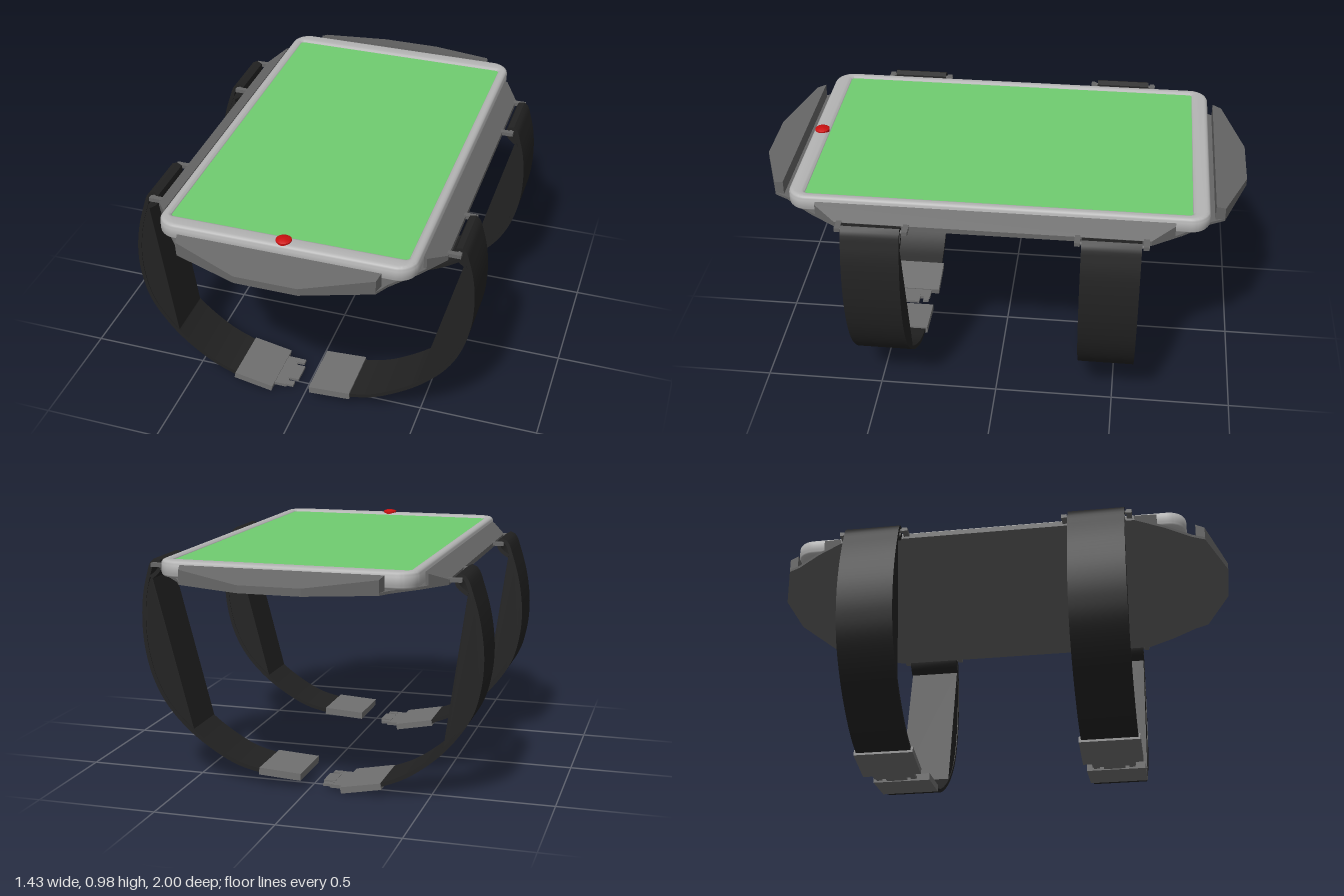
import * as THREE from 'three';
import { toCreasedNormals } from 'three/addons/utils/BufferGeometryUtils.js';

const CX = 0.015; // centre line of the case
const mat = (color) => new THREE.MeshStandardMaterial({ color });
const caseMat = mat(0x666666), frameMat = mat(0xb4b4b4), screenMat = mat(0x70cc70);
const strapMat = mat(0x222222), claspMat = mat(0x707070), redMat = mat(0xcc1111);
const V = (p) => new THREE.Vector2(p[0], p[1]);

function add(parent, name, geometry, material, x = 0, y = 0, z = 0) {
  const m = new THREE.Mesh(geometry, material);
  m.name = name;
  m.position.set(x, y, z);
  parent.add(m);
  return m;
}

// Upright prism over an [x, z] outline, with its top height given by a rule
function prism(outline, bottom, top) {
  const g = new THREE.ExtrudeGeometry(new THREE.Shape(outline.map(V)), { depth: 1, bevelEnabled: false });
  g.rotateX(Math.PI / 2);
  const p = g.attributes.position;
  for (let i = 0; i < p.count; i++) p.setY(i, p.getY(i) > -0.5 ? top(p.getX(i), p.getZ(i)) : bottom);
  g.computeVertexNormals();
  return g;
}

function roundedRect(w, h, r, Type = THREE.Shape) {
  const s = new Type(), x = w / 2, y = h / 2;
  s.moveTo(-x + r, -y);
  s.lineTo(x - r, -y).absarc(x - r, -y + r, r, -Math.PI / 2, 0);
  s.lineTo(x, y - r).absarc(x - r, y - r, r, 0, Math.PI / 2);
  s.lineTo(-x + r, y).absarc(-x + r, y - r, r, Math.PI / 2, Math.PI);
  s.lineTo(-x, -y + r).absarc(-x + r, -y + r, r, Math.PI, Math.PI * 1.5);
  return s;
}

// Side profile in x, y extruded across the strap width
function across(shape, width) {
  const g = new THREE.ExtrudeGeometry(shape, { depth: width, bevelEnabled: false, curveSegments: 24 });
  g.translate(0, 0, -width / 2);
  return toCreasedNormals(g, 0.6);
}

// Strap of even thickness along a smooth path
function ribbon(points, thickness, width) {
  const curve = new THREE.CatmullRomCurve3(points.map((p) => new THREE.Vector3(p[0], p[1], 0)));
  const a = [], b = [], n = 70;
  for (let i = 0; i <= n; i++) {
    const p = curve.getPointAt(i / n), t = curve.getTangentAt(i / n);
    const dx = -t.y * thickness / 2, dy = t.x * thickness / 2;
    a.push(new THREE.Vector2(p.x + dx, p.y + dy));
    b.unshift(new THREE.Vector2(p.x - dx, p.y - dy));
  }
  return across(new THREE.Shape([...a, ...b]), width);
}

// Padding between the strap curve and a straight chord
function padding(points, width) {
  const s = new THREE.Shape();
  s.moveTo(...points[0]);
  s.splineThru(points.slice(1).map(V));
  return across(s, width);
}

function createCase() {
  const g = new THREE.Group();
  g.name = 'case';
  g.position.x = CX;

  // Thin base plate, one quarter outline mirrored round
  const q = [[0.125, 1], [0.395, 0.905], [0.425, 0.85], [0.515, 0.74], [0.595, 0.62]];
  const flip = (sx, sz) => q.map(([x, z]) => [x * sx, z * sz]);
  const outline = [...flip(1, 1), ...flip(1, -1).reverse(), ...flip(-1, -1), ...flip(-1, 1).reverse()];
  add(g, 'basePlate', prism(outline, 0.895, () => 0.906), caseMat);

  // Sloping end bumpers and side flanks
  const end = [[-0.125, 1], [0.125, 1], [0.395, 0.905], [0.405, 0.867], [-0.405, 0.867], [-0.395, 0.905]];
  const flank = [[0.595, 0.62], [0.595, -0.62], [0.535, -0.71], [0.523, -0.71], [0.523, 0.71], [0.535, 0.71]];
  for (const s of [0, 1]) {
    const half = new THREE.Group();
    half.name = s ? 'rearHalf' : 'frontHalf';
    half.rotation.y = s * Math.PI;
    add(half, 'endBumper', prism(end, 0.896, (x, z) => 0.925 + 0.3 * (1 - z)), caseMat);
    add(half, 'sideFlank', prism(flank, 0.896, (x) => 0.916 + 0.58 * (0.595 - x)), caseMat);
    g.add(half);
  }
  return g;
}

function createTablet() {
  const g = new THREE.Group();
  g.name = 'tablet';
  g.position.set(CX, 0, -0.007);
  const bevel = 0.018;

  // Rounded frame with an opening for the screen
  const shape = roundedRect(1.035 - 2 * bevel, 1.675 - 2 * bevel, 0.06);
  shape.holes.push(roundedRect(0.95 + 2 * bevel, 1.53 + 2 * bevel, 0.03, THREE.Path));
  const frame = new THREE.ExtrudeGeometry(shape, {
    depth: 0.068 - 2 * bevel, bevelThickness: bevel, bevelSize: bevel, bevelSegments: 4, curveSegments: 8,
  });
  frame.rotateX(-Math.PI / 2);
  add(g, 'frame', toCreasedNormals(frame, 0.7), frameMat, 0, 0.906 + bevel, 0);
  add(g, 'screen', new THREE.BoxGeometry(0.965, 0.058, 1.545), screenMat, 0, 0.936, 0);

  // Domed button on the front rim
  const dome = [[0, -0.012], [0.03, -0.012], [0.031, 0.006], [0.02, 0.012], [0, 0.013]].map(V);
  add(g, 'button', toCreasedNormals(new THREE.LatheGeometry(dome, 16), 0.5), redMat, 0, 0.974, 0.8);
  return g;
}

function createStrapPair(z) {
  const g = new THREE.Group();
  g.name = 'strapPair';
  g.position.z = z;
  const W = 0.232;

  // Lugs and pins holding the straps
  for (const s of [1, -1]) {
    for (const e of [1, -1]) {
      add(g, 'lug', new THREE.BoxGeometry(0.055, 0.016, 0.022), caseMat, CX + s * 0.615, 0.912, e * 0.133);
    }
    const pin = new THREE.CylinderGeometry(0.008, 0.008, 0.29, 12).rotateX(Math.PI / 2);
    add(g, 'pin', pin, caseMat, CX + s * 0.63, 0.912, 0);
  }

  // Left strap, looped over its pin
  const left = [[0.672, 0.855], [0.65, 0.872], [0.634, 0.89], [0.63, 0.915], [0.645, 0.928], [0.663, 0.918],
    [0.68, 0.87], [0.699, 0.79], [0.708, 0.68], [0.7, 0.56], [0.668, 0.435], [0.61, 0.325], [0.507, 0.215],
    [0.38, 0.128], [0.3, 0.09], [0.2, 0.065]];
  add(g, 'leftStrap', ribbon(left, 0.016, W), strapMat);
  add(g, 'leftPadding', padding([[0.668, 0.865], [0.695, 0.79], [0.704, 0.68], [0.696, 0.56], [0.664, 0.435],
    [0.606, 0.325], [0.5, 0.222]], W - 0.006), strapMat);

  // Right strap
  const right = [[-0.648, 0.855], [-0.622, 0.872], [-0.606, 0.89], [-0.602, 0.915], [-0.617, 0.926], [-0.636, 0.916],
    [-0.662, 0.85], [-0.692, 0.74], [-0.708, 0.61], [-0.7, 0.49], [-0.666, 0.37], [-0.565, 0.226],
    [-0.45, 0.127], [-0.38, 0.085], [-0.3, 0.052]];
  add(g, 'rightStrap', ribbon(right, 0.016, W), strapMat);
  add(g, 'rightPadding', padding([[-0.648, 0.865], [-0.688, 0.74], [-0.704, 0.61], [-0.696, 0.49],
    [-0.662, 0.37], [-0.56, 0.232]], W - 0.006), strapMat);

  // Socket on the left strap, buckle with pronged tongue on the right strap
  const socket = add(g, 'claspSocket', new THREE.BoxGeometry(0.18, 0.03, 0.25), claspMat, 0.12, 0.063, 0);
  socket.rotation.z = 0.06;
  const buckle = add(g, 'claspBuckle', new THREE.BoxGeometry(0.172, 0.027, 0.25), claspMat, -0.224, 0.034, 0);
  buckle.rotation.z = -0.19;
  add(g, 'tongue', new THREE.BoxGeometry(0.06, 0.014, 0.18), claspMat, -0.115, 0.02, 0);
  add(g, 'middleProng', new THREE.BoxGeometry(0.05, 0.011, 0.09), claspMat, -0.07, 0.023, 0);
  for (const e of [1, -1]) {
    add(g, 'sideProng', new THREE.BoxGeometry(0.04, 0.011, 0.025), claspMat, -0.075, 0.023, e * 0.075);
  }
  return g;
}

export function createModel() {
  const model = new THREE.Group();
  model.name = 'wristTablet';
  model.add(createCase(), createTablet(), createStrapPair(0.468), createStrapPair(-0.468));
  return model;
}
